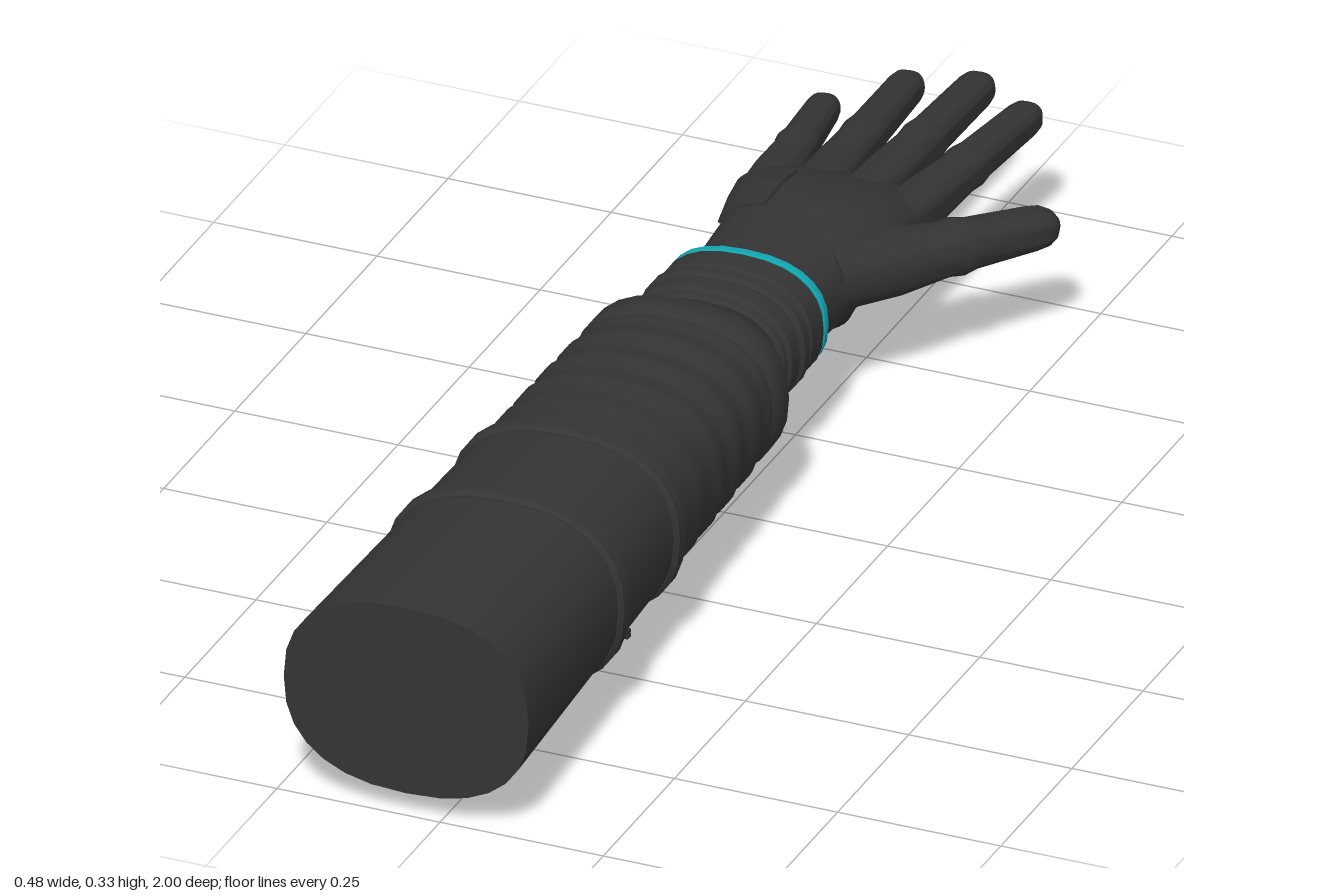
import * as THREE from 'three';
import { toCreasedNormals } from 'three/addons/utils/BufferGeometryUtils.js';

const SIDES = 28;
const suit = new THREE.MeshStandardMaterial({ color: 0x343434 });
suit.name = 'charcoal suit';
const trim = new THREE.MeshStandardMaterial({ color: 0x2b2b2b });
trim.name = 'dark trim';
const teal = new THREE.MeshStandardMaterial({ color: 0x10a5b0 });
teal.name = 'teal light';
const pink = new THREE.MeshStandardMaterial({ color: 0xb55ab5 });
pink.name = 'pink light';

// Point on a rounded-oval section [z, cx, cy, rx, ry], grown by off
function ovalPoint([z, cx, cy, rx, ry], a, off = 0) {
  const c = Math.cos(a), s = Math.sin(a), p = 2 / 2.4;
  return [
    cx + (rx + off) * Math.sign(c) * Math.abs(c) ** p,
    cy + (ry + off) * Math.sign(s) * Math.abs(s) ** p, z];
}

function build(pos, idx, crease = 0.7) {
  const g = new THREE.BufferGeometry();
  g.setAttribute('position', new THREE.Float32BufferAttribute(pos, 3));
  g.setIndex(idx);
  return toCreasedNormals(g, crease);
}

// Closed skin over sections listed from +z to -z
function loft(sections) {
  const pos = [], idx = [], last = sections.length - 1;
  for (const s of sections)
    for (let j = 0; j < SIDES; j++) pos.push(...ovalPoint(s, j / SIDES * Math.PI * 2));
  const front = pos.length / 3, back = front + 1;
  for (const s of [sections[0], sections[last]]) pos.push(s[1], s[2], s[0]);
  for (let j = 0; j < SIDES; j++) {
    const k = (j + 1) % SIDES;
    for (let i = 0; i < last; i++) {
      const a = i * SIDES + j, b = i * SIDES + k;
      idx.push(a, a + SIDES, b, b, a + SIDES, b + SIDES);
    }
    idx.push(front, j, k, back, last * SIDES + k, last * SIDES + j);
  }
  return build(pos, idx);
}

// Section at a given z, interpolated from a list
function sectionAt(list, z) {
  let i = 0;
  while (i < list.length - 2 && z < list[i + 1][0]) i++;
  const t = (z - list[i][0]) / (list[i + 1][0] - list[i][0]);
  return list[i].map((v, k) => v + (list[i + 1][k] - v) * t);
}

// Raised panel hugging a lofted skin; angles in degrees, given at both ends
function panel(list, z0, z1, [a0, a1], [b0, b1], height) {
  const n = 10, pos = [], idx = [];
  const step = i => Math.min(Math.max((i - 1) / (n - 2), 0), 1);
  for (let i = 0; i <= n; i++) {
    const t = step(i), s = sectionAt(list, z0 + (z1 - z0) * t);
    for (let j = 0; j <= n; j++) {
      const lo = a0 + (b0 - a0) * t, hi = a1 + (b1 - a1) * t;
      const edge = i === 0 || j === 0 || i === n || j === n;
      pos.push(...ovalPoint(s, (lo + (hi - lo) * step(j)) * Math.PI / 180, edge ? -0.006 : height));
      if (i < n && j < n) {
        const a = i * (n + 1) + j, c = a + n + 1;
        idx.push(a, c, a + 1, a + 1, c, c + 1);
      }
    }
  }
  return build(pos, idx, 0.5);
}

// Band with bevelled edges wrapped round the arm
function band(z0, z1, cx, cy, rx, ry, bevel = 0.006) {
  const b = bevel;
  return loft([[z0, cx, cy, rx - b, ry - b], [z0 - b, cx, cy, rx, ry],
    [z1 + b, cx, cy, rx, ry], [z1, cx, cy, rx - b, ry - b]]);
}

export function createModel() {
  const model = new THREE.Group();
  const add = (name, geo, mat, x = 0, y = 0, z = 0) => {
    const m = new THREE.Mesh(geo, mat);
    m.name = name;
    m.position.set(x, y, z);
    model.add(m);
    return m;
  };

  // Sleeve, with soft folds toward the wrist
  const armAt = (z, off = 0) => {
    const t = (1 - z) / 1.04;
    return [z, -0.052 - 0.016 * t, 0.183 + 0.005 * t, 0.1875 - 0.035 * t + off, 0.148 - 0.027 * t + off];
  };
  const sleeve = [armAt(1), armAt(0.7), armAt(0.4)];
  for (let z = 0.36; z > 0.03; z -= 0.0125)
    sleeve.push(armAt(z, 0.003 * Math.sin(z * 85) * Math.min(1, (0.4 - z) * 5)));
  sleeve.push(armAt(0.025, -0.003), armAt(0.015, 0.003), armAt(-0.025, 0.003), armAt(-0.04, -0.006));
  add('sleeve', loft(sleeve), suit);
  for (const z of [0.63, 0.41]) {
    const s = armAt(z, 0.008);
    add('sleeveBand', band(z + 0.015, z - 0.015, s[1], s[2], s[3], s[4]), suit);
  }

  // Wrist and stacked cuff
  add('wrist', loft([[0, -0.072, 0.187, 0.115, 0.088], [-0.25, -0.073, 0.187, 0.115, 0.085]]), trim);
  for (const [z0, z1, r] of [[-0.095, -0.115, 0], [-0.112, -0.15, 0.004], [-0.153, -0.182, 0.006], [-0.185, -0.236, 0.003]])
    add('cuffBand', band(z0, z1, -0.073, 0.187, 0.122 + r, 0.092 + r), suit);
  add('cuffLight', band(-0.238, -0.252, -0.074, 0.187, 0.125, 0.093, 0.002), teal);

  // Hand
  const hand = [
    [-0.24, -0.075, 0.186, 0.114, 0.083], [-0.32, -0.072, 0.184, 0.111, 0.079],
    [-0.40, -0.067, 0.191, 0.119, 0.08], [-0.47, -0.068, 0.196, 0.133, 0.076],
    [-0.54, -0.077, 0.196, 0.138, 0.058], [-0.59, -0.08, 0.19, 0.138, 0.042],
    [-0.62, -0.08, 0.187, 0.132, 0.032], [-0.64, -0.08, 0.186, 0.118, 0.018]];
  add('hand', loft(hand), suit);
  add('handBackPanel', panel(hand, -0.40, -0.53, [108, 160], [104, 160], 0.005), suit);
  add('palmLight', panel(hand, -0.37, -0.53, [-60, -52], [-47, -43], 0.003), teal);

  // Fingers: tip at the local origin, root along local +z
  const digit = (name, root, tip, r0, r1) => {
    const a = new THREE.Vector3(...root), b = new THREE.Vector3(...tip);
    const L = a.distanceTo(b);
    const profile = [[L, r0], [L * 0.72, r0 * 0.97], [L * 0.5, r0 * 0.4 + r1 * 0.6], [L * 0.44, r0 * 0.45 + r1 * 0.6],
      [L * 0.38, r0 * 0.3 + r1 * 0.68], [r1 * 1.3, r1], [r1 * 0.7, r1 * 0.92], [r1 * 0.3, r1 * 0.7], [r1 * 0.07, r1 * 0.4], [0, 0.002]];
    const m = add(name, loft(profile.map(([z, r]) => [z, 0, 0, r, r * 0.92])), suit, ...tip);
    m.lookAt(a);
  };
  digit('littleFinger', [-0.178, 0.192, -0.52], [-0.217, 0.182, -0.865], 0.037, 0.025);
  digit('ringFinger', [-0.112, 0.2, -0.52], [-0.131, 0.186, -0.965], 0.037, 0.027);
  digit('middleFinger', [-0.044, 0.2, -0.52], [-0.037, 0.186, -1], 0.038, 0.028);
  digit('indexFinger', [0.02, 0.195, -0.5], [0.06, 0.184, -0.95], 0.039, 0.027);
  digit('thumb', [0.0, 0.2, -0.355], [0.222, 0.184, -0.66], 0.052, 0.033);

  // Palm emitter
  add('palmPlate', new THREE.BoxGeometry(0.13, 0.04, 0.15), trim, -0.067, 0.123, -0.465);
  add('palmTrim', new THREE.CylinderGeometry(0.068, 0.068, 0.006, 32), teal, -0.067, 0.104, -0.46);
  add('palmEmitter', new THREE.CylinderGeometry(0.069, 0.056, 0.026, 32), trim, -0.067, 0.089, -0.46);
  add('palmLens', new THREE.CylinderGeometry(0.05, 0.044, 0.009, 32), pink, -0.067, 0.0725, -0.46);

  // Forearm console on the underside
  const outline = [[-0.15, 0.045], [-0.137, 0.02], [-0.112, 0.009], [-0.09, 0.005], [-0.025, 0.005],
    [-0.002, 0.009], [0.02, 0.02], [0.036, 0.045], [0.01, 0.08], [-0.12, 0.08]];
  const shape = new THREE.Shape(outline.map(p => new THREE.Vector2(...p)));
  add('console', new THREE.ExtrudeGeometry(shape, { depth: 0.26, bevelEnabled: false }), trim, 0, 0, 0.4);
  add('consoleScreen', new THREE.BoxGeometry(0.1, 0.005, 0.22), suit, -0.058, 0.0045, 0.535);
  add('consoleBar', new THREE.BoxGeometry(0.09, 0.004, 0.02), teal, -0.058, 0.002, 0.45);
  add('consoleReadout', new THREE.BoxGeometry(0.035, 0.004, 0.15), teal, -0.058, 0.002, 0.555);
  for (const x of [-0.143, 0.027])
    for (const z of [0.41, 0.64]) {
      add('consoleClip', new THREE.BoxGeometry(0.012, 0.005, 0.012), trim, x, 0.012, z);
      add('consoleClip', new THREE.BoxGeometry(0.012, 0.005, 0.012), trim, x, 0.019, z);
      add('clipPin', new THREE.BoxGeometry(0.007, 0.02, 0.007), trim, x, 0.021, z);
    }
  return model;
}
